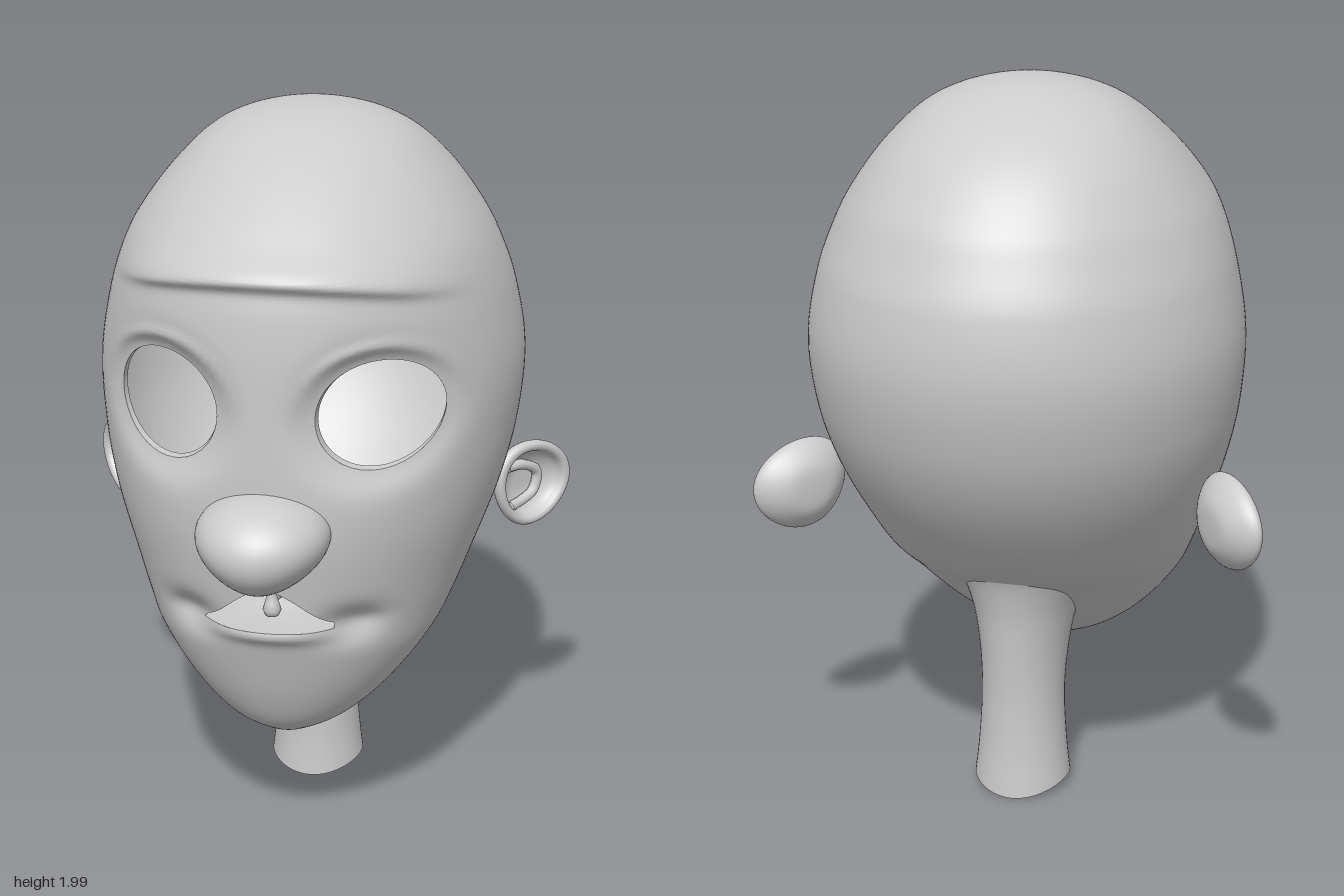
import * as THREE from 'three';

const mat = new THREE.MeshStandardMaterial({ color: 0xcccccc, side: THREE.DoubleSide });
const gauss = (v, s) => Math.exp(-(v / s) * (v / s));

// Head sections: height, half width, front z, back z
const SECTIONS = [
  [0.31, 0, 0.22, 0.22], [0.34, 0.10, 0.32, 0.10], [0.38, 0.175, 0.375, 0.02],
  [0.47, 0.28, 0.43, -0.11], [0.61, 0.387, 0.485, -0.28], [0.70, 0.43, 0.515, -0.41],
  [0.79, 0.465, 0.535, -0.50], [0.97, 0.53, 0.565, -0.635], [1.13, 0.567, 0.57, -0.71],
  [1.32, 0.58, 0.57, -0.75], [1.5, 0.55, 0.565, -0.735], [1.62, 0.51, 0.55, -0.69],
  [1.70, 0.47, 0.515, -0.65], [1.84, 0.365, 0.34, -0.525], [1.95, 0.23, 0.13, -0.34],
  [2.0, 0, -0.12, -0.12],
];
// Heights run along a half circle so that crown and chin close roundly
const toT = (y) => Math.acos(THREE.MathUtils.clamp((1.155 - y) / 0.845, -1, 1));
const toY = (t) => 1.155 - 0.845 * Math.cos(t);
const KNOTS = SECTIONS.map((s) => toT(s[0]));

// Smooth interpolation of the sections at a height
function section(y) {
  const t = toT(y), last = KNOTS.length - 1;
  let i = 0;
  while (i < last - 1 && t > KNOTS[i + 1]) i++;
  const h = KNOTS[i + 1] - KNOTS[i], u = (t - KNOTS[i]) / h;
  const slope = (k, c) => {
    const a = Math.max(k - 1, 0), b = Math.min(k + 1, last);
    return (SECTIONS[b][c] - SECTIONS[a][c]) / (KNOTS[b] - KNOTS[a]);
  };
  const [w, front, back] = [1, 2, 3].map((c) => {
    const p = SECTIONS[i][c], q = SECTIONS[i + 1][c];
    const u2 = u * u, u3 = u2 * u;
    return p * (2 * u3 - 3 * u2 + 1) + q * (3 * u2 - 2 * u3)
      + h * (slope(i, c) * (u3 - 2 * u2 + u) + slope(i + 1, c) * (u3 - u2));
  });
  return { w: Math.max(w, 0), front, back, mid: back + 0.46 * (front - back) };
}

const EYE = { x: 0.279, y: 1.305, rx: 0.152, ry: 0.145 };
const MOUTH = { y: 0.715, half: 0.22, rise: 0.125 };
const upperLip = (x) => MOUTH.y + MOUTH.rise * (0.5 + 0.5 * Math.cos(Math.PI * x / MOUTH.half));

// Brow ridge, eye sockets and lips, as offsets of the face in z
function relief(x, y) {
  const ax = Math.abs(x);
  const dy = y - (1.668 - 0.35 * x * x);
  let d = 0.035 * gauss(dy, dy > 0 ? 0.045 : 0.022) * (1 - THREE.MathUtils.smoothstep(ax, 0.3, 0.53));
  const ex = (ax - EYE.x) / EYE.rx, ey = (y - EYE.y) / EYE.ry, r = Math.hypot(ex, ey);
  d -= 0.04 * gauss(r - 0.9, 0.4);
  if (ey > 0) d += 0.014 * gauss(r - 1.28, 0.12) * ey / r;
  d -= 0.045 * gauss(ax - 0.22, 0.07) * gauss(y - 0.725, 0.05);
  d += 0.018 * gauss(y - 0.70, 0.022) * gauss(x, 0.17);
  return d;
}

function faceZ(x, y) {
  const s = section(y);
  const k = s.w > 0 ? Math.sqrt(Math.max(0, 1 - (x / s.w) ** 2)) : 0;
  return s.mid + (s.front - s.mid) * k + relief(x, y);
}

// Moves a face point lying in an opening to its edge; null outside openings
function snapToOpening(x, y) {
  const side = x < 0 ? -1 : 1;
  const ex = (Math.abs(x) - EYE.x) / EYE.rx, ey = (y - EYE.y) / EYE.ry, r = Math.hypot(ex, ey);
  if (r < 1) {
    const k = 1 / Math.max(r, 1e-4);
    return [side * (EYE.x + EYE.rx * ex * k), EYE.y + EYE.ry * ey * k];
  }
  if (Math.abs(x) < MOUTH.half) {
    const top = upperLip(x);
    if (y > MOUTH.y && y < top) return [x, y - MOUTH.y < top - y ? MOUTH.y : top];
  }
  return null;
}

// Surface over a grid of points, closed around each row
function gridMesh(name, rows, cols, pointAt, closed = true) {
  const pos = [], cut = [], index = [];
  for (let i = 0; i <= rows; i++) for (let j = 0; j < cols; j++) {
    const p = pointAt(i / rows, j / cols);
    pos.push(p[0], p[1], p[2]);
    cut.push(!!p[3]);
  }
  const add = (a, b, c) => { if (!(cut[a] && cut[b] && cut[c])) index.push(a, b, c); };
  for (let i = 0; i < rows; i++) for (let j = 0; j < cols; j++) {
    const a = i * cols + j, b = i * cols + (j + 1) % cols;
    add(a, b, b + cols);
    add(a, b + cols, a + cols);
  }
  const g = new THREE.BufferGeometry();
  g.setAttribute('position', new THREE.Float32BufferAttribute(pos, 3));
  g.setIndex(index);
  g.computeVertexNormals();
  return named(name, g);
}

function named(name, geometry) {
  const m = new THREE.Mesh(geometry, mat);
  m.name = name;
  return m;
}

function makeHead() {
  return gridMesh('head', 220, 160, (v, u) => {
    const y = toY(v * Math.PI), s = section(y), a = u * Math.PI * 2;
    const x = s.w * Math.sin(a), c = Math.cos(a);
    if (c <= 0) return [x, y, s.mid + (s.mid - s.back) * c];
    const edge = snapToOpening(x, y);
    if (edge) return [edge[0], edge[1], faceZ(edge[0], edge[1]), true];
    return [x, y, s.mid + (s.front - s.mid) * c + relief(x, y) * Math.min(1, c * 4)];
  });
}

// Wall running inward from the edge of an opening; rings are [scale, depth]
function pocket(name, edgeAt, centre, rings) {
  return gridMesh(name, rings.length - 1, 64, (v, u) => {
    const [k, depth] = rings[Math.round(v * (rings.length - 1))];
    const [x, y] = edgeAt(u);
    return [centre[0] + (x - centre[0]) * k, centre[1] + (y - centre[1]) * k, faceZ(x, y) - depth];
  });
}

function makeNeck() {
  // Height, half width, front z, back z
  const rows = [[0.03, 0.133, -0.055, -0.33], [0.15, 0.121, -0.06, -0.32], [0.3, 0.114, -0.05, -0.318],
    [0.45, 0.125, 0.0, -0.328], [0.58, 0.155, 0.05, -0.345], [0.7, 0.21, 0.08, -0.385], [0.82, 0.27, 0.1, -0.49]];
  const spline = (c) => new THREE.SplineCurve(rows.map((r) => new THREE.Vector2(r[0], r[c])));
  const curves = [1, 2, 3].map(spline);
  return gridMesh('neck', 30, 48, (v, u) => {
    const [w, f, b] = curves.map((c) => c.getPoint(v).y), a = u * Math.PI * 2;
    const y = curves[0].getPoint(v).x;
    const dip = (1 - v) ** 6 * 0.015 * -Math.cos(2 * a);
    return [w * Math.sin(a), y + dip, (f + b) / 2 + (f - b) / 2 * Math.cos(a)];
  });
}

function makeNose() {
  const g = new THREE.SphereGeometry(1, 48, 32);
  const p = g.attributes.position;
  for (let i = 0; i < p.count; i++) {
    const y = p.getY(i);
    p.setXYZ(i, p.getX(i) * 0.172 * (1 + 0.2 * y - 0.12 * y * y), 0.985 + y * 0.132, 0.555 + p.getZ(i) * 0.193);
  }
  g.computeVertexNormals();
  return named('nose', g);
}

function makeEar(side) {
  const ear = new THREE.Group();
  ear.name = side > 0 ? 'leftEar' : 'rightEar';
  // Cupped shell with a rolled rim
  const profile = new THREE.SplineCurve([[0, -0.06], [0.06, -0.055], [0.105, -0.025], [0.125, 0.005], [0.118, 0.024],
    [0.1, 0.022], [0.085, -0.005], [0.045, -0.028], [0, -0.03]].map(([r, h]) => new THREE.Vector2(r, h)));
  const points = profile.getPoints(32);
  points.forEach((q) => { q.x = Math.max(q.x, 0); });
  const g = new THREE.LatheGeometry(points, 48).rotateX(Math.PI / 2);
  const p = g.attributes.position;
  for (let i = 0; i < p.count; i++) p.setX(i, p.getX(i) * 1.12 * (1 + 1.2 * p.getY(i)));
  g.computeVertexNormals();
  ear.add(named('earShell', g));
  // Inner fold
  const fold = new THREE.CatmullRomCurve3([[-0.09, 0.03, -0.01], [-0.03, 0.045, -0.012], [0.035, 0.03, -0.015],
    [0.04, -0.025, -0.015], [0, -0.06, -0.012], [-0.05, -0.08, 0]].map((q) => new THREE.Vector3(...q)));
  ear.add(named('earFold', new THREE.TubeGeometry(fold, 32, 0.015, 10)));
  ear.rotation.set(0, 0.857, -0.3);
  ear.position.set(0.588, 0.878, -0.31);
  const mirror = new THREE.Group();
  mirror.name = side > 0 ? 'leftEarSide' : 'rightEarSide';
  mirror.scale.x = side;
  mirror.add(ear);
  return mirror;
}

export function createModel() {
  const model = new THREE.Group();
  model.name = 'headBust';
  model.add(makeHead(), makeNeck(), makeNose());
  for (const side of [1, -1]) {
    model.add(makeEar(side));
    const rim = (u) => [side * (EYE.x + EYE.rx * Math.cos(u * Math.PI * 2)), EYE.y + EYE.ry * Math.sin(u * Math.PI * 2)];
    model.add(pocket(side > 0 ? 'leftEyeRim' : 'rightEyeRim', rim, [side * EYE.x, EYE.y],
      [[1, 0], [0.985, 0.012], [0.975, 0.025]]));
  }
  // Mouth cavity, lined from the lip edges to a closed back
  const lips = (u) => {
    const x = MOUTH.half * Math.cos(u * Math.PI * 2);
    return [x, u < 0.5 ? upperLip(x) : MOUTH.y];
  };
  model.add(pocket('mouthCavity', lips, [0, 0.745],
    [[1, 0], [0.99, 0.03], [0.95, 0.08], [0.8, 0.13], [0.5, 0.16], [0, 0.17]]));
  // Small drop hanging inside the mouth
  const drop = [[0, 0], [0.018, 0.006], [0.025, 0.022], [0.019, 0.042], [0.012, 0.065], [0.012, 0.1]];
  const uvula = named('uvula', new THREE.LatheGeometry(drop.map(([r, h]) => new THREE.Vector2(r, h)), 20));
  uvula.position.set(0, 0.73, 0.45);
  model.add(uvula);
  return model;
}
